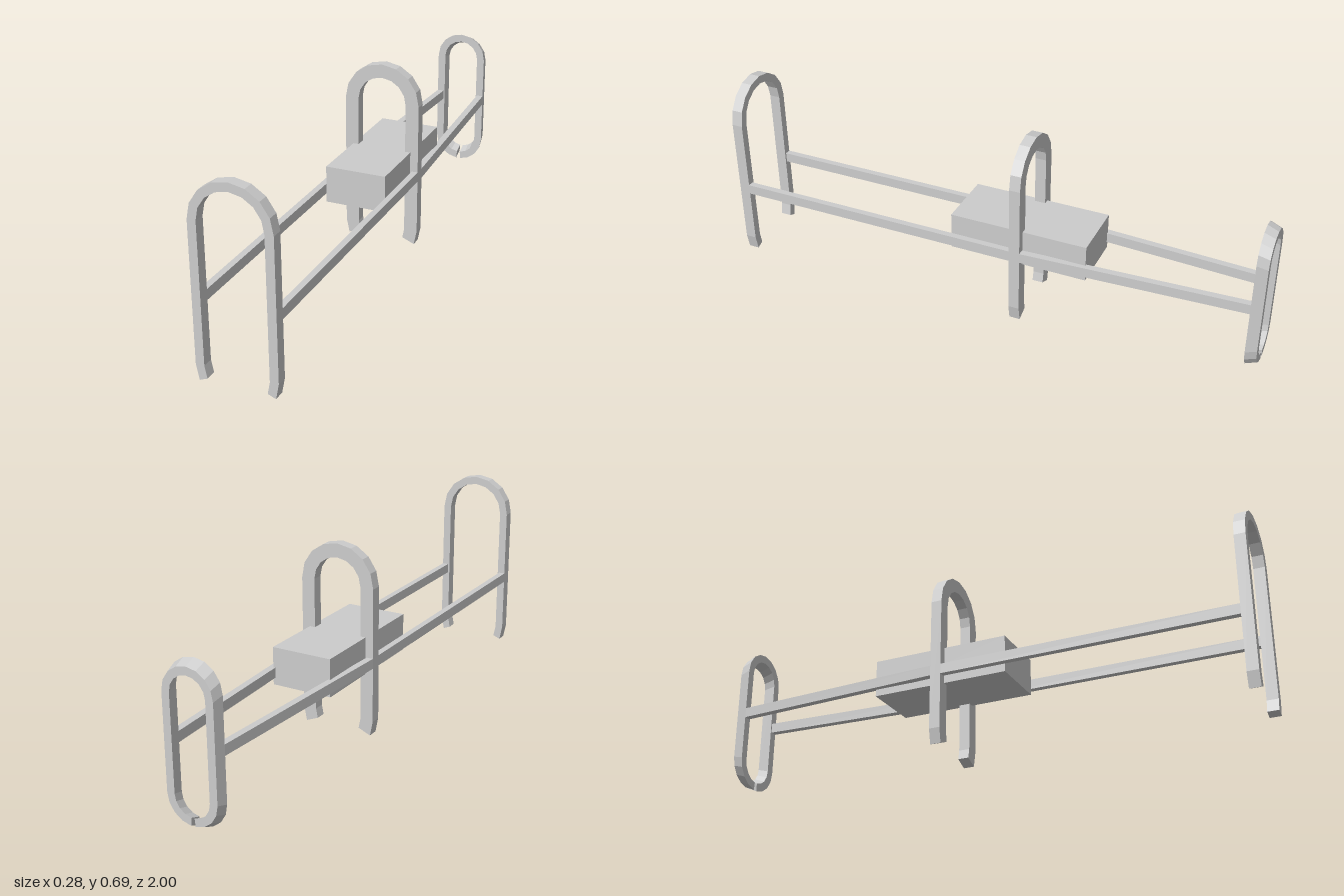
import * as THREE from 'three';

const grey = new THREE.MeshStandardMaterial({ color: 0xcccccc, flatShading: true });
grey.name = 'plain grey';

// Bent flat bar: upright loop with a round top and legs that curl inwards by `curl` radians
function hoopShape(radius, bar, topY, lowY, curl, curlSteps) {
  const side = (r) => {
    const pts = [];
    for (let i = curlSteps; i > 0; i--) {
      const a = -curl * i / curlSteps;
      pts.push(new THREE.Vector2(r * Math.cos(a), lowY + r * Math.sin(a)));
    }
    pts.push(new THREE.Vector2(r, lowY));
    for (let i = 0; i <= 8; i++) {
      const a = Math.PI * i / 8;
      pts.push(new THREE.Vector2(r * Math.cos(a), topY + r * Math.sin(a)));
    }
    pts.push(new THREE.Vector2(-r, lowY));
    for (let i = 1; i <= curlSteps; i++) {
      const a = -curl * i / curlSteps;
      pts.push(new THREE.Vector2(-r * Math.cos(a), lowY + r * Math.sin(a)));
    }
    return pts;
  };
  return new THREE.Shape([...side(radius), ...side(radius - bar).reverse()]);
}

function addPart(group, name, geometry) {
  const mesh = new THREE.Mesh(geometry, grey);
  mesh.name = name;
  group.add(mesh);
  return mesh;
}

function hoop(shape, z, depth) {
  return new THREE.ExtrudeGeometry(shape, { depth, bevelEnabled: false }).translate(0, 0, z);
}

// Rail between two depths whose outer face runs from xFront to xBack
function rail(side, zFront, zBack, xFront, xBack, width) {
  const geo = new THREE.BoxGeometry(width, 0.037, zFront - zBack);
  geo.translate(0, 0.28, (zFront + zBack) / 2);
  const p = geo.attributes.position;
  for (let i = 0; i < p.count; i++) {
    const t = (zFront - p.getZ(i)) / (zFront - zBack);
    const outer = xFront + (xBack - xFront) * t;
    p.setX(i, p.getX(i) + side * (outer - width / 2));
  }
  geo.computeVertexNormals();
  return geo;
}

export function createModel() {
  const group = new THREE.Group();
  group.name = 'frame';

  // Open hoops at the front and middle
  addPart(group, 'frontHoop', hoop(hoopShape(0.142, 0.03, 0.55, 0.06, Math.PI / 8, 1), 0.96, 0.04));
  addPart(group, 'middleHoop', hoop(hoopShape(0.142, 0.05, 0.55, 0.06, Math.PI / 8, 1), -0.15, 0.04));

  // Nearly closed rear hoop, narrowing towards the back
  const rear = hoop(hoopShape(0.1, 0.03, 0.456, 0.1, 1.482, 4), -1, 0.04);
  const p = rear.attributes.position;
  for (let i = 0; i < p.count; i++) {
    if (p.getZ(i) < -0.98) {
      p.setXY(i, p.getX(i) * 0.94, 0.278 + (p.getY(i) - 0.278) * 0.94);
    }
  }
  rear.computeVertexNormals();
  addPart(group, 'rearHoop', rear);

  // Side rails, straight in front and converging behind
  for (const side of [1, -1]) {
    const label = side > 0 ? 'left' : 'right';
    addPart(group, label + 'FrontRail', rail(side, 0.96, -0.11, 0.142, 0.142, 0.023));
    addPart(group, label + 'RearRail', rail(side, -0.15, -0.96, 0.142, 0.1, 0.025));
  }

  // Central block
  addPart(group, 'centreBlock', new THREE.BoxGeometry(0.225, 0.136, 0.51).translate(0, 0.304, -0.13));
  return group;
}
